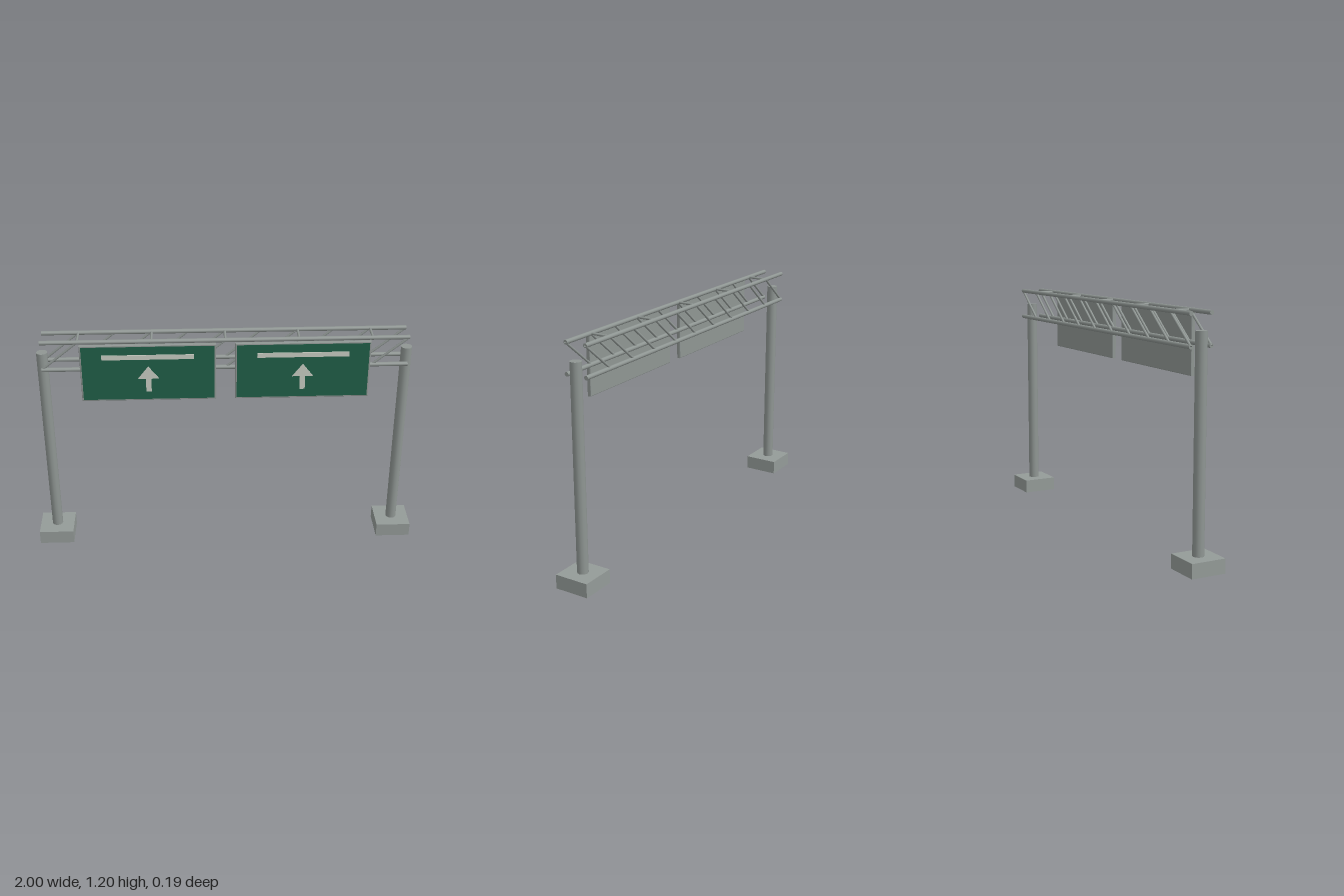
import * as THREE from 'three';

const concrete = new THREE.MeshStandardMaterial({ color: 0x949b98 });
concrete.name = 'concrete grey';
const steel = new THREE.MeshStandardMaterial({ color: 0x8f9693 });
steel.name = 'galvanised steel';
const green = new THREE.MeshStandardMaterial({ color: 0x205e47 });
green.name = 'sign green';
const pale = new THREE.MeshStandardMaterial({ color: 0xc8cdc2 });
pale.name = 'marking white';

const SPAN = 0.91, TOP = 1.185, BOTTOM = 1.037, DEPTH = 0.0545;

function add(parent, name, geometry, material, x = 0, y = 0, z = 0) {
  const mesh = new THREE.Mesh(geometry, material);
  mesh.name = name;
  mesh.position.set(x, y, z);
  parent.add(mesh);
  return mesh;
}

// Round bar between two points
function bar(parent, name, a, b, radius, sides = 8) {
  const from = new THREE.Vector3(...a), to = new THREE.Vector3(...b);
  const dir = to.clone().sub(from);
  const mesh = add(parent, name, new THREE.CylinderGeometry(radius, radius, dir.length(), sides), steel);
  mesh.position.copy(from).lerp(to, 0.5);
  mesh.quaternion.setFromUnitVectors(new THREE.Vector3(0, 1, 0), dir.normalize());
}

function rectangle(w, h) {
  return new THREE.Shape([[-w, -h], [w, -h], [w, h], [-w, h]].map(([x, y]) => new THREE.Vector2(x / 2, y / 2)));
}

function createSign(x) {
  const sign = new THREE.Group();
  sign.name = 'signPanel';
  sign.position.set(x, 1.028, 0);

  // Backing panel with bevelled rim
  const bevel = 0.004;
  const panel = new THREE.ExtrudeGeometry(rectangle(0.67 - 2 * bevel, 0.306 - 2 * bevel), {
    depth: 0.021 - 2 * bevel, bevelThickness: bevel, bevelSize: bevel, bevelSegments: 2,
  });
  add(sign, 'signBacking', panel, steel, 0, 0, 0.068 + bevel);
  add(sign, 'signFace', new THREE.BoxGeometry(0.654, 0.29, 0.004), green, 0, 0, 0.0875);

  // Painted bar and arrow
  add(sign, 'signBar', new THREE.BoxGeometry(0.454, 0.025, 0.005), pale, 0, 0.089, 0.0905);
  const arrow = new THREE.Shape([
    [-0.0135, -0.102], [0.0135, -0.102], [0.0135, -0.03], [0.053, -0.03],
    [0, 0.038], [-0.053, -0.03], [-0.0135, -0.03],
  ].map(([px, py]) => new THREE.Vector2(px, py)));
  add(sign, 'signArrow', new THREE.ExtrudeGeometry(arrow, { depth: 0.003, bevelEnabled: false }), pale, 0, 0, 0.089);
  return sign;
}

export function createModel() {
  const model = new THREE.Group();
  model.name = 'signGantry';

  // Posts on concrete footings
  for (const side of [-1, 1]) {
    const x = side * SPAN;
    add(model, 'footing', new THREE.BoxGeometry(0.18, 0.072, 0.18), concrete, x, 0.036, -0.002);
    add(model, 'post', new THREE.CylinderGeometry(0.028, 0.028, 1.037, 12), steel, x, 0.5885, -0.002);
  }

  // Truss: four chords, parallel diagonals and top cross struts
  const truss = new THREE.Group();
  truss.name = 'truss';
  truss.position.z = -0.002;
  model.add(truss);
  const bays = 10, step = (2 * SPAN) / bays;
  for (const z of [-DEPTH, DEPTH]) {
    for (const y of [BOTTOM, TOP]) bar(truss, 'chord', [-SPAN, y, z], [SPAN, y, z], 0.011, 10);
    for (let i = 0; i < bays; i++) {
      const x = -SPAN + i * step;
      bar(truss, 'diagonal', [x, BOTTOM, z], [x + step, TOP, z], 0.0062);
    }
  }
  for (let i = 1; i < bays; i += 2) {
    const x = -SPAN + i * step;
    bar(truss, 'crossStrut', [x, TOP, -DEPTH], [x, TOP, DEPTH], 0.0065);
  }

  // Two sign panels hung on the front
  for (const side of [-1, 1]) model.add(createSign(side * 0.382));
  return model;
}
